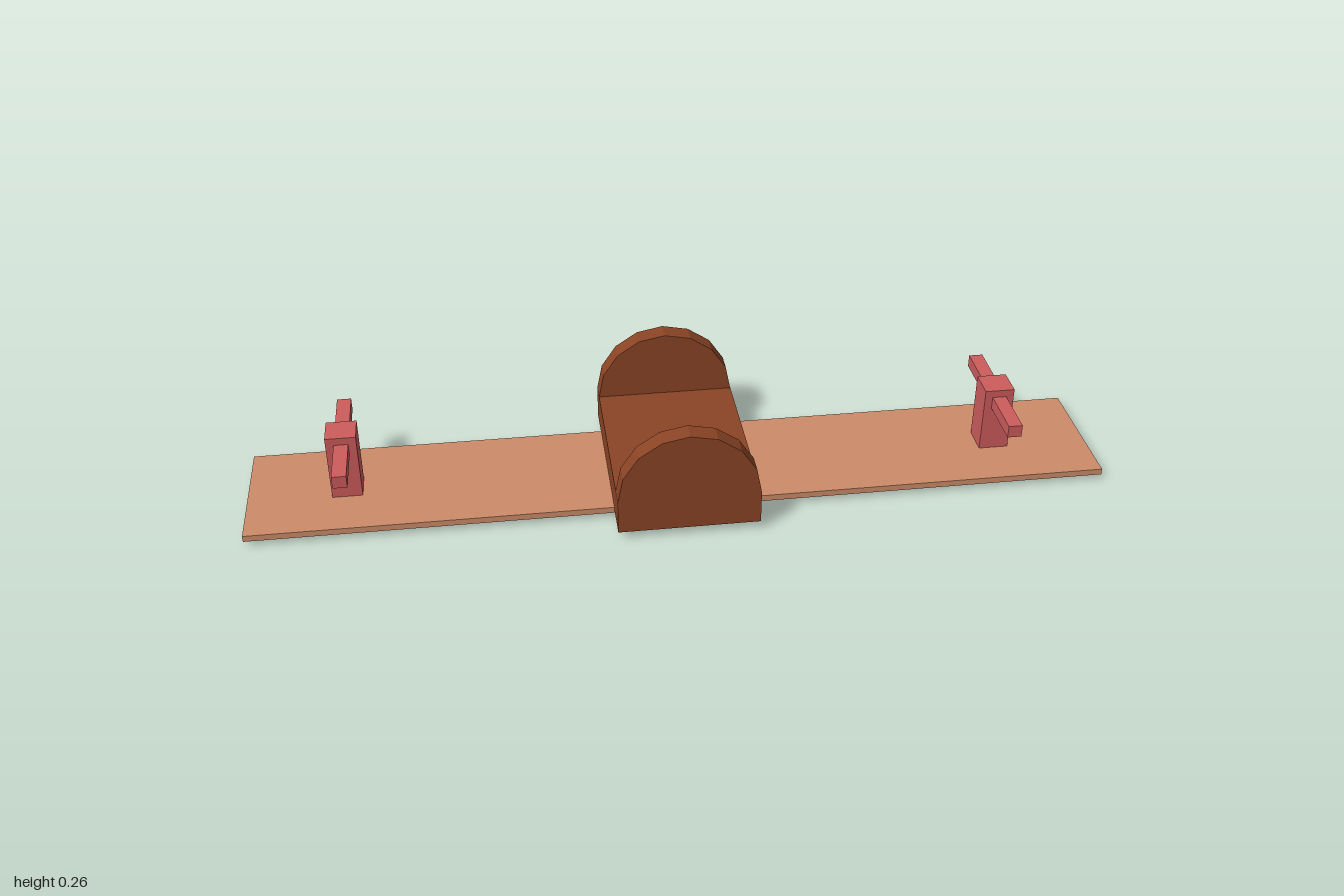
import * as THREE from 'three';

const mat = (name, color) => {
  const m = new THREE.MeshStandardMaterial({ color, flatShading: true });
  m.name = name;
  return m;
};

export function createModel() {
  const brown = mat('dark brown', 0x8b4425);
  const wood = mat('light wood', 0xcd8c6a);
  const red = mat('soft red', 0xcd5c5c);
  const orange = mat('burnt orange', 0xcd5c2e);

  const model = new THREE.Group();
  model.name = 'seesaw';
  const add = (parent, name, geometry, material, x, y, z) => {
    const mesh = new THREE.Mesh(geometry, material);
    mesh.name = name;
    mesh.position.set(x, y, z);
    parent.add(mesh);
    return mesh;
  };
  // Box given by its size and bottom height
  const box = (parent, name, material, w, h, d, x, bottom) =>
    add(parent, name, new THREE.BoxGeometry(w, h, d), material, x, bottom + h / 2, 0);

  // Long board
  box(model, 'plank', wood, 2, 0.015, 0.32, 0, 0.012);

  // Middle block between two arched end plates
  const R = 0.163, base = 0.019, spring = 0.1;
  box(model, 'centreBlock', brown, R * 2, 0.102 - base, 0.4, 0, base);
  const arch = new THREE.Shape();
  arch.moveTo(-R, base);
  arch.lineTo(R, base);
  for (let i = 0; i <= 8; i++) {
    const a = (i * Math.PI) / 8;
    arch.lineTo(R * Math.cos(a), spring + R * Math.sin(a));
  }
  const plate = new THREE.ExtrudeGeometry(arch, { depth: 0.047, bevelEnabled: false });
  add(model, 'frontArch', plate, brown, 0, 0, 0.199);
  add(model, 'backArch', plate, brown, 0, 0, -0.246);

  // Six-sided pivot rod with an edge pointing down
  const rod = new THREE.CylinderGeometry(0.023, 0.023, 0.408, 6);
  rod.rotateX(Math.PI / 2);
  add(model, 'pivotRod', rod, orange, 0, 0.023, 0);

  // Handle at each end
  for (const side of [-1, 1]) {
    const handle = new THREE.Group();
    handle.name = side > 0 ? 'leftHandle' : 'rightHandle';
    box(handle, 'post', red, 0.07, 0.162, 0.07, side * 0.771, 0.026);
    box(handle, 'crossbar', red, 0.033, 0.03, 0.324, side * 0.771, 0.14);
    model.add(handle);
  }
  return model;
}
